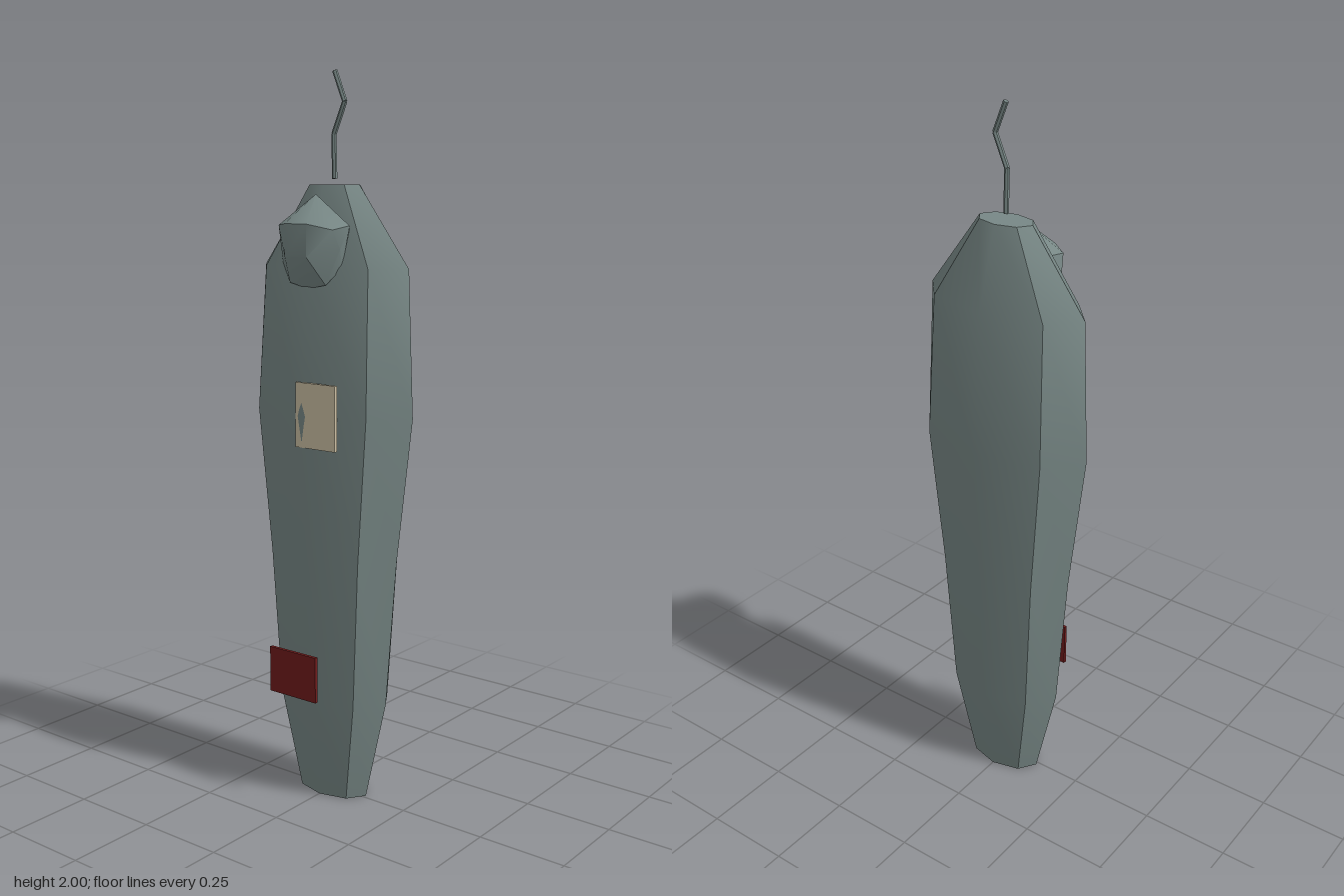
import * as THREE from 'three';
import { toCreasedNormals } from 'three/addons/utils/BufferGeometryUtils.js';
import { ConvexGeometry } from 'three/addons/geometries/ConvexGeometry.js';

const bodyGrey = new THREE.MeshStandardMaterial({ name: 'bodyGrey', color: 0x788886 });
const cream = new THREE.MeshStandardMaterial({ name: 'cream', color: 0xcbbfa3 });
const darkRed = new THREE.MeshStandardMaterial({ name: 'darkRed', color: 0x701c1c });

function part(group, name, geometry, material, x = 0, y = 0, z = 0) {
  const mesh = new THREE.Mesh(geometry, material);
  mesh.name = name;
  mesh.position.set(x, y, z);
  group.add(mesh);
  return mesh;
}

// Eight-sided lathe whose depth is squeezed level by level
function bodyGeometry() {
  // height, half width, half depth
  const levels = [
    [0, 0, 0], [0, 0.113, 0.07], [0.29, 0.18, 0.114], [0.7, 0.212, 0.13],
    [1.1, 0.26, 0.1465], [1.49, 0.243, 0.115], [1.705, 0.082, 0.049], [1.705, 0, 0],
  ];
  const geo = new THREE.LatheGeometry(levels.map(([y, w]) => new THREE.Vector2(w, y)), 8);
  const pos = geo.attributes.position;
  for (let i = 0; i < pos.count; i++) {
    const [, w, d] = levels[i % levels.length];
    if (w > 0) pos.setZ(i, pos.getZ(i) * d / w);
  }
  return toCreasedNormals(geo, 0.56);
}

// Faceted lump with a peak at the top and a blunt front
function snoutGeometry() {
  const points = [
    [0, 1.68, 0.07],
    [0.108, 1.6, 0.066], [-0.09, 1.61, 0.052], [0.098, 1.59, 0.053],
    [0.1, 1.54, 0.095], [-0.105, 1.5, 0.08], [0.094, 1.49, 0.08],
    [-0.09, 1.6, 0.115], [0.09, 1.59, 0.115],
    [-0.036, 1.605, 0.155], [0.036, 1.605, 0.155],
    [-0.036, 1.52, 0.155], [0.036, 1.52, 0.155],
    [-0.06, 1.45, 0.105], [0.06, 1.447, 0.105], [0, 1.436, 0.105],
  ].map((p) => new THREE.Vector3(...p));
  return toCreasedNormals(new ConvexGeometry(points), 0.7);
}

export function createModel() {
  const model = new THREE.Group();
  model.name = 'model';

  part(model, 'body', bodyGeometry(), bodyGrey, 0, 0, -0.01);
  part(model, 'snout', snoutGeometry(), bodyGrey);

  // Plates on the front
  part(model, 'creamPlate', new THREE.BoxGeometry(0.132, 0.175, 0.0095), cream, 0.046, 1.103, 0.1288);
  part(model, 'redPlate', new THREE.BoxGeometry(0.162, 0.13, 0.0095), darkRed, -0.036, 0.37, 0.1288);

  // Crooked antenna of thin six-sided rods
  const antenna = new THREE.Group();
  antenna.name = 'antenna';
  const path = [[0, 1.72], [-0.003, 1.835], [0.033, 1.918], [0, 1.997]]
    .map(([x, y]) => new THREE.Vector3(x, y, -0.01));
  for (let i = 0; i < path.length - 1; i++) {
    const dir = path[i + 1].clone().sub(path[i]);
    const geo = new THREE.CylinderGeometry(0.007, 0.007, dir.length(), 6);
    const mid = path[i].clone().add(path[i + 1]).multiplyScalar(0.5);
    const rod = part(antenna, 'antennaRod', toCreasedNormals(geo, 0.5), bodyGrey, mid.x, mid.y, mid.z);
    rod.quaternion.setFromUnitVectors(new THREE.Vector3(0, 1, 0), dir.normalize());
  }
  model.add(antenna);

  return model;
}
